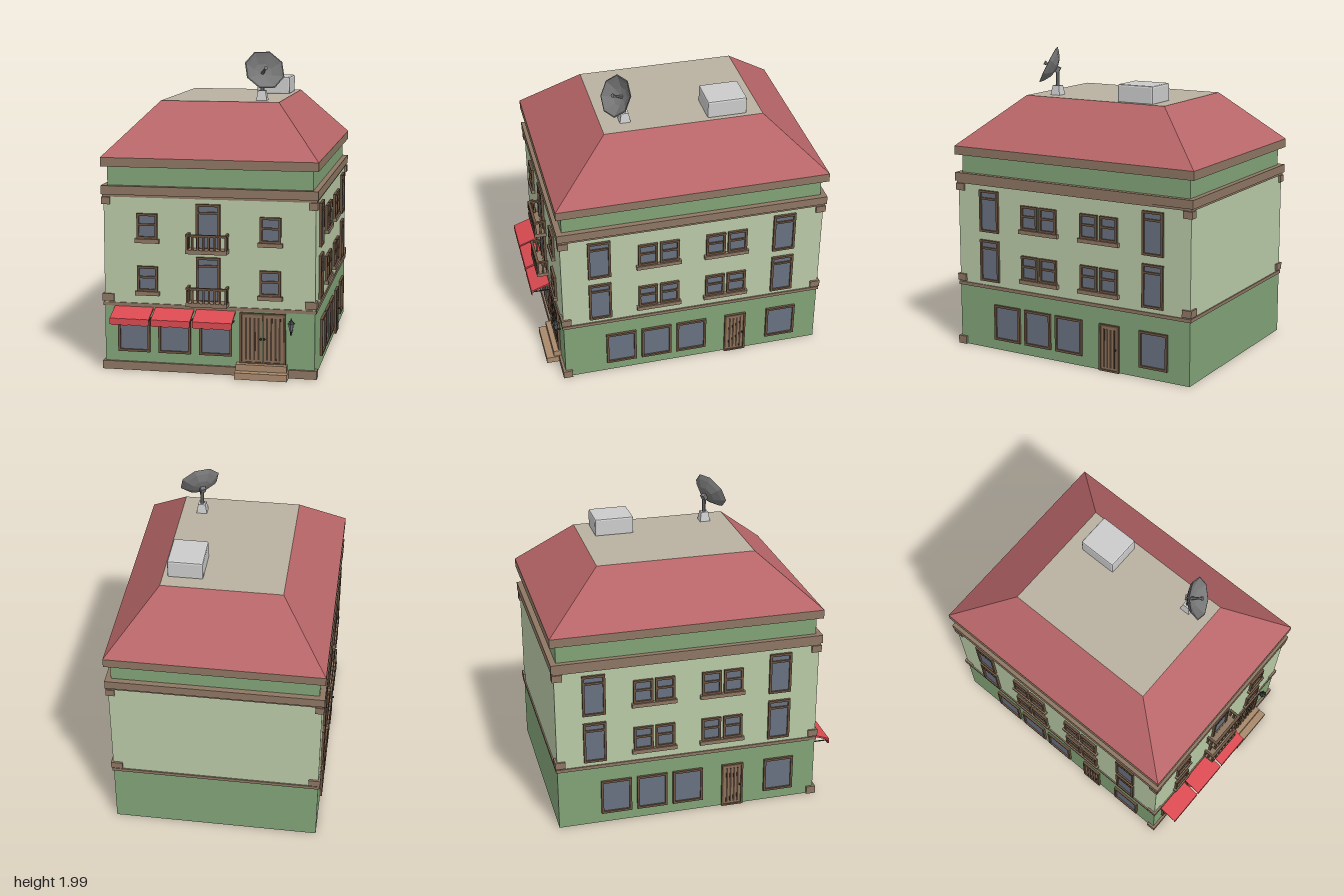
import * as THREE from 'three';
import { RoundedBoxGeometry } from 'three/addons/geometries/RoundedBoxGeometry.js';

const paint = (color, extra = {}) => new THREE.MeshStandardMaterial({ color, flatShading: true, ...extra });
const twoSided = { side: THREE.DoubleSide };
const M = {
  upper: paint(0xb9c9a6, twoSided), lower: paint(0x82a377, twoSided), trim: paint(0x8d7663),
  frame: paint(0x69523f), glass: paint(0x687180), roof: paint(0xb86668), deck: paint(0xb9b0a0),
  awning: paint(0xd84a50, twoSided), door: paint(0x8b7058), groove: paint(0x4a3a2e),
  step: paint(0xa98a6c), metal: paint(0x3c4040), dish: paint(0x777777, twoSided), grey: paint(0xcccccc),
};

// Building footprint
const X = 0.67, ZF = 0.815, ZB = -0.92, ZC = (ZF + ZB) / 2;

function add(parent, name, geometry, material, x = 0, y = 0, z = 0) {
  const mesh = new THREE.Mesh(geometry, material);
  mesh.name = name;
  mesh.position.set(x, y, z);
  parent.add(mesh);
  return mesh;
}

// Box given by its limits
function box(parent, name, mat, x0, x1, y0, y1, z0, z1) {
  return add(parent, name, new THREE.BoxGeometry(x1 - x0, y1 - y0, z1 - z0), mat,
    (x0 + x1) / 2, (y0 + y1) / 2, (z0 + z1) / 2);
}

function group(parent, name) {
  const g = new THREE.Group();
  g.name = name;
  parent.add(g);
  return g;
}

const rect = (P, x0, x1, y0, y1) =>
  new P([[x0, y0], [x1, y0], [x1, y1], [x0, y1]].map(p => new THREE.Vector2(...p)));

// Rectangular ring standing out from a wall
function frame(parent, name, mat, x0, x1, y0, y1, b, depth) {
  const s = rect(THREE.Shape, x0, x1, y0, y1);
  s.holes.push(rect(THREE.Path, x0 + b, x1 - b, y0 + b, y1 - b));
  return add(parent, name, new THREE.ExtrudeGeometry(s, { depth, bevelEnabled: false }), mat);
}

// Open four-sided shell, no floor or ceiling
function walls(parent, name, mat, y0, y1) {
  const g = new THREE.CylinderGeometry(Math.SQRT1_2, Math.SQRT1_2, 1, 4, 1, true);
  g.rotateY(Math.PI / 4).scale(2 * X, y1 - y0, ZF - ZB);
  add(parent, name, g, mat, 0, (y0 + y1) / 2, ZC);
}

// Everything on a wall is laid out with z = 0 on the wall, z outward
function makeWindow(parent, x0, x1, y0, y1, { transom = 0, sill = false } = {}) {
  const g = group(parent, 'window');
  frame(g, 'windowFrame', M.frame, x0, x1, y0, y1, 0.015, 0.016);
  box(g, 'glass', M.glass, x0 + 0.01, x1 - 0.01, y0 + 0.01, y1 - 0.01, 0, 0.005);
  if (transom) box(g, 'transom', M.frame, x0, x1, transom - 0.007, transom + 0.007, 0, 0.014);
  if (sill) box(g, 'sill', M.trim, x0 - 0.012, x1 + 0.012, y0 - 0.026, y0, 0, 0.025);
}

function makeDoor(parent, x0, x1, y0, y1, leaves) {
  const g = group(parent, 'door');
  frame(g, 'doorFrame', M.frame, x0, x1, y0, y1, 0.012, 0.016);
  const w = (x1 - x0 - 0.024) / leaves;
  for (let i = 0; i < leaves; i++) {
    const a = x0 + 0.012 + i * w;
    box(g, 'doorLeaf', M.door, a + 0.002, a + w - 0.002, y0, y1 - 0.01, 0, 0.009);
    for (let k = 0; k < 4; k++) {
      const c = a + w * (0.2 + 0.2 * k);
      box(g, 'doorGroove', M.groove, c - 0.006, c + 0.006, y0 + 0.025, y1 - 0.03, 0, 0.011);
    }
    const side = leaves === 1 || i === 0 ? a + w - 0.01 : a + 0.01;
    add(g, 'doorKnob', new THREE.SphereGeometry(0.008, 8, 6), M.metal, side, (y0 + y1) / 2, 0.02);
  }
}

function makeBalcony(parent, y) {
  const g = group(parent, 'balcony');
  box(g, 'balconySlab', M.trim, -0.13, 0.13, y, y + 0.025, 0, 0.08);
  box(g, 'frontRail', M.frame, -0.13, 0.13, y + 0.108, y + 0.122, 0.062, 0.08);
  for (let i = 0; i < 8; i++) {
    const x = -0.122 + i * 0.244 / 7;
    box(g, 'baluster', M.frame, x - 0.006, x + 0.006, y + 0.025, y + 0.11, 0.065, 0.077);
  }
  for (const s of [-1, 1]) {
    const x = s * 0.122;
    box(g, 'sideRail', M.frame, x - 0.008, x + 0.008, y + 0.108, y + 0.122, 0, 0.065);
    for (const z of [0.008, 0.037])
      box(g, 'baluster', M.frame, x - 0.006, x + 0.006, y + 0.025, y + 0.11, z - 0.006, z + 0.006);
  }
}

function makeAwning(parent, x0, x1) {
  const g = group(parent, 'awning'), w = x1 - x0;
  // Sloping sheet from its side profile (z, y)
  const side = new THREE.Shape([[0, 0.397], [0.13, 0.35], [0.13, 0.362], [0, 0.41]].map(p => new THREE.Vector2(...p)));
  const sheet = new THREE.ExtrudeGeometry(side, { depth: w, bevelEnabled: false });
  add(g, 'awningSheet', sheet.rotateY(-Math.PI / 2), M.awning, x1);
  // Scalloped valance
  const v = new THREE.Shape().moveTo(0, 0.36).lineTo(0, 0.325);
  for (let i = 0; i < 4; i++) v.quadraticCurveTo((i + 0.5) * w / 4, 0.31, (i + 1) * w / 4, 0.325);
  v.lineTo(w, 0.36);
  add(g, 'valance', new THREE.ExtrudeGeometry(v, { depth: 0.005, bevelEnabled: false, curveSegments: 4 }), M.awning, x0, 0, 0.126);
  for (const x of [x0 + 0.01, x1 - 0.01])
    box(g, 'awningRod', M.metal, x - 0.003, x + 0.003, 0.344, 0.35, 0, 0.128);
}

function makeLamp(parent, x) {
  const g = group(parent, 'wallLamp');
  g.position.set(x, 0, 0.03);
  box(g, 'lampBracket', M.metal, -0.005, 0.005, 0.292, 0.302, -0.03, 0);
  add(g, 'lampStem', new THREE.CylinderGeometry(0.009, 0.004, 0.03, 6), M.metal, 0, 0.293);
  add(g, 'lampGlass', new THREE.CylinderGeometry(0.019, 0.011, 0.045, 6), M.glass, 0, 0.33);
  add(g, 'lampCap', new THREE.CylinderGeometry(0.006, 0.025, 0.022, 6), M.metal, 0, 0.363);
  add(g, 'lampFinial', new THREE.ConeGeometry(0.006, 0.014, 6), M.metal, 0, 0.381);
}

function makeFront(parent) {
  const g = group(parent, 'frontFacade');
  g.position.z = ZF;
  for (const dy of [0, -0.335]) {
    for (const x of [-0.39, 0.39])
      makeWindow(g, x - 0.066, x + 0.066, 0.85 + dy, 1.01 + dy, { transom: 0.94 + dy, sill: true });
    makeWindow(g, -0.077, 0.075, 0.79 + dy, 1.08 + dy, { transom: 1.025 + dy });
    makeBalcony(g, 0.777 + dy);
  }
  for (const x of [-0.48, -0.218, 0.046]) {
    makeWindow(g, x - 0.104, x + 0.104, 0.12, 0.34);
    makeAwning(g, x - 0.125, x + 0.125);
  }
  makeDoor(g, 0.2, 0.49, 0.08, 0.405, 2);
  box(g, 'lowerStep', M.step, 0.18, 0.51, 0, 0.042, 0, 0.1);
  box(g, 'upperStep', M.step, 0.18, 0.5, 0.042, 0.083, 0, 0.05);
  makeLamp(g, 0.525);
}

// Side wall: local x runs from front (-) to back (+) of the right-hand layout
function makeSide(parent, name, sign) {
  const g = group(parent, name);
  g.position.set(sign * X, 0, ZC);
  g.rotation.y = sign * Math.PI / 2;
  const at = group(g, 'sideOpenings');
  at.position.x = ZC;
  for (const dy of [0, -0.335]) {
    for (const x of [-0.567, 0.66]) makeWindow(at, x - 0.074, x + 0.074, 0.8 + dy, 1.08 + dy, { transom: 1.025 + dy });
    for (const x of [-0.25, -0.107, 0.2, 0.345])
      makeWindow(at, x - 0.064, x + 0.064, 0.85 + dy, 1.01 + dy, { transom: 0.94 + dy, sill: true });
  }
  for (const x of [-0.434, -0.195, 0.045, 0.668]) makeWindow(at, x - 0.101, x + 0.101, 0.07, 0.31);
  makeDoor(at, 0.277, 0.422, 0, 0.31, 1);
}

function makeDish(parent) {
  const g = group(parent, 'satelliteDish');
  const base = new THREE.CylinderGeometry(0.034, 0.05, 0.065, 4).rotateY(Math.PI / 4);
  add(g, 'dishBase', base, M.grey, 0.25, 1.713, 0.297);
  add(g, 'dishPole', new THREE.CylinderGeometry(0.013, 0.013, 0.12, 8), M.dish, 0.25, 1.795, 0.297);
  const head = group(g, 'dishHead');
  head.position.set(0.27, 1.877, 0.345);
  head.lookAt(0.27 + 0.4, 1.877 + 0.45, 0.345 + 0.8);
  // Octagonal bowl opening along the head's z axis
  const profile = [[0, -0.055], [0.065, -0.04], [0.112, -0.012], [0.135, 0.01], [0.128, 0.012],
    [0.105, -0.004], [0.06, -0.03], [0, -0.045]].map(p => new THREE.Vector2(...p));
  add(head, 'dishBowl', new THREE.LatheGeometry(profile, 8, Math.PI / 8).rotateX(Math.PI / 2), M.dish);
  add(head, 'feedArm', new THREE.CylinderGeometry(0.006, 0.012, 0.075, 6).rotateX(Math.PI / 2), M.dish, 0, 0, -0.01);
  add(head, 'feedHorn', new THREE.CylinderGeometry(0.014, 0.01, 0.02, 6).rotateX(Math.PI / 2), M.dish, 0, 0, 0.03);
  add(head, 'dishMount', new THREE.BoxGeometry(0.035, 0.035, 0.03), M.dish, 0, 0, -0.06);
}

export function createModel() {
  const model = new THREE.Group();
  model.name = 'cornerBuilding';

  walls(model, 'groundFloorWalls', M.lower, 0, 0.42);
  walls(model, 'upperFloorWalls', M.upper, 0.42, 1.12);

  // String course round the building, hollow inside
  const course = frame(model, 'stringCourse', M.trim, -X - 0.008, X + 0.008, -ZF - 0.008, -ZB + 0.008, 0.012, 0.022);
  course.rotation.x = -Math.PI / 2;
  course.position.y = 0.413;

  // Cornices and frieze
  box(model, 'lowerCornice', M.trim, -0.685, 0.685, 1.125, 1.18, -0.937, 0.832);
  box(model, 'corniceLip', M.trim, -0.678, 0.678, 1.11, 1.125, -0.928, 0.823);
  box(model, 'frieze', M.lower, -0.65, 0.65, 1.18, 1.3, -0.9, 0.795);
  box(model, 'eaves', M.trim, -0.685, 0.685, 1.3, 1.357, -0.94, 0.832);

  // Hipped roof: a box with its top corners drawn in
  const roof = new THREE.BoxGeometry(1.37, 0.327, 1.772);
  const p = roof.attributes.position;
  for (let i = 0; i < p.count; i++)
    if (p.getY(i) > 0) {
      p.setX(i, Math.sign(p.getX(i)) * 0.383);
      p.setZ(i, Math.sign(p.getZ(i)) * 0.515 - 0.006);
    }
  roof.computeVertexNormals();
  add(model, 'roof', roof, [M.roof, M.roof, M.deck, M.roof, M.roof, M.roof], 0, 1.5205, -0.054);

  // Corner blocks
  for (const sx of [-1, 1])
    for (const [z, sz] of [[ZF, 1], [ZB, -1]])
      for (const [y, w] of [[1.085, 0.055], [0.466, 0.075]])
        add(model, 'cornerBlock', new THREE.BoxGeometry(w, 0.046, 0.065), M.trim,
          sx * (X + 0.013 - w / 2), y, z + sz * (0.013 - 0.0325));

  // Front plinth on both sides of the steps
  box(model, 'plinth', M.trim, -0.685, 0.18, 0, 0.053, 0.77, 0.832);
  box(model, 'plinth', M.trim, 0.51, 0.685, 0, 0.053, 0.77, 0.832);

  makeFront(model);
  makeSide(model, 'leftFacade', 1);
  makeSide(model, 'rightFacade', -1);

  // Rooftop equipment
  add(model, 'roofUnit', new RoundedBoxGeometry(0.225, 0.12, 0.258, 1, 0.012), M.grey, 0.241, 1.737, -0.348);
  makeDish(model);
  return model;
}
